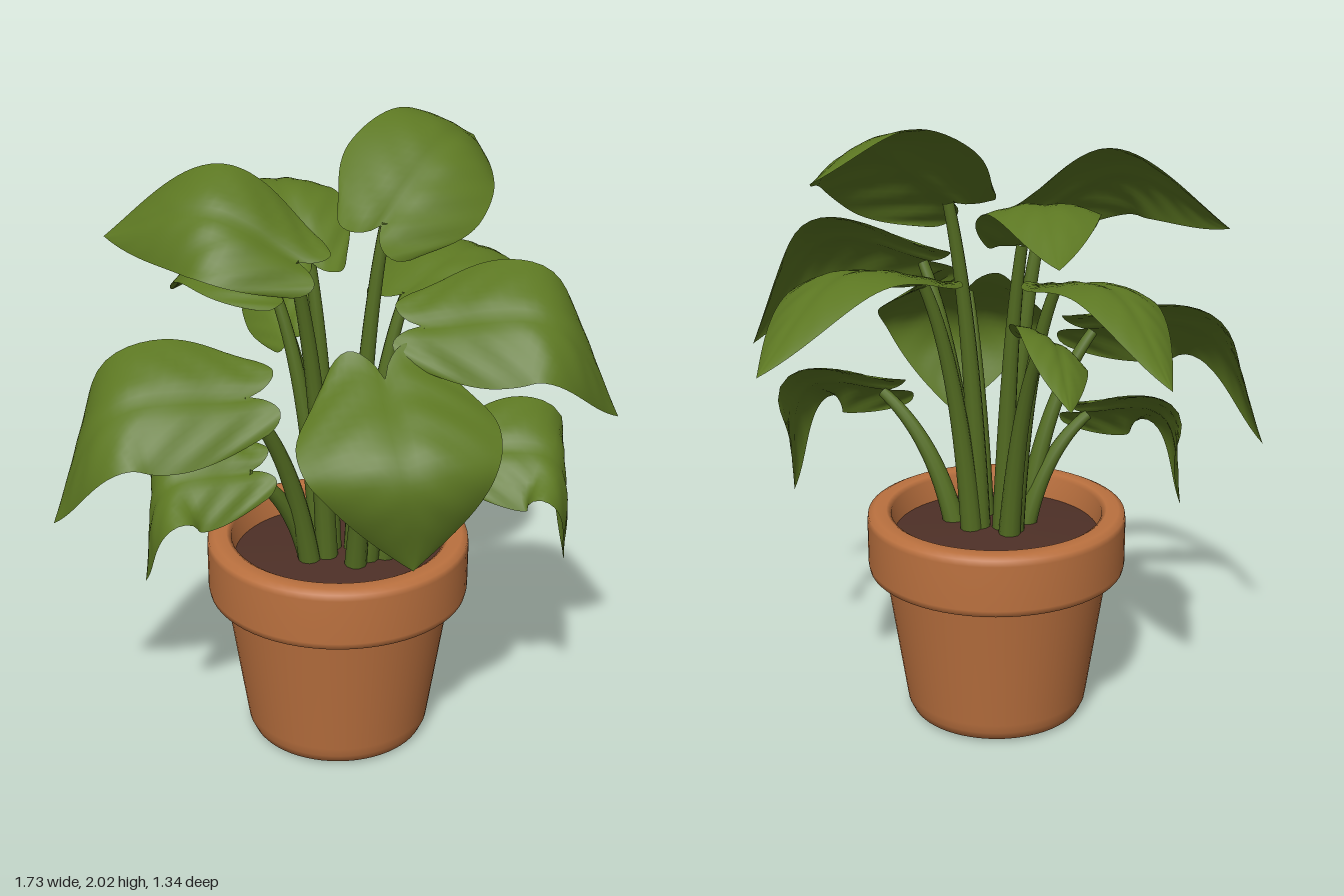
import * as THREE from 'three';

const V = (p) => new THREE.Vector3(...p);
const leafMat = new THREE.MeshStandardMaterial({ name: 'leafGreen', color: 0x5c7722, side: THREE.DoubleSide });
const stemMat = new THREE.MeshStandardMaterial({ name: 'stemGreen', color: 0x546d22 });
const clayMat = new THREE.MeshStandardMaterial({ name: 'terracotta', color: 0xbb713f });
const soilMat = new THREE.MeshStandardMaterial({ name: 'soilBrown', color: 0x4e3027 });

// Direction across a blade that reaches sideways and tilts towards the front
const TILT = V([0, -0.64, 0.77]);

// Position along the leaf to its width, 0 at the tip
function widthAt(t) {
  if (t < 0.3) return 0.62 + 0.38 * Math.sin((Math.PI / 2) * (t / 0.3));
  return 1 - Math.pow((t - 0.3) / 0.7, 1.9);
}

// Blade: a grid bent along the midrib, with lobes, a drooping edge and a midrib crease
function leafGeometry(rib, across, w) {
  const curve = new THREE.CatmullRomCurve3(rib);
  const geo = new THREE.PlaneGeometry(2, 1, 20, 28);
  const pos = geo.attributes.position;
  const frame = (t) => {
    const T = curve.getTangentAt(t);
    const S = across.clone().addScaledVector(T, -across.dot(T)).normalize();
    return { T, S, N: S.clone().cross(T) };
  };
  const up = Math.sign(frame(0.3).N.y);
  for (let i = 0; i < pos.count; i++) {
    const u = pos.getX(i), t = THREE.MathUtils.clamp(pos.getY(i) + 0.5, 0, 1), a = Math.min(1, Math.abs(u));
    const { T, S, N } = frame(t);
    const half = w * widthAt(t);
    const lobe = 0.36 * w * Math.pow(Math.max(0, Math.sin(Math.PI * a)), 0.7) * Math.pow(1 - t, 3);
    const vein = 0.004 * Math.sin((t - a * 0.25) * 38) * Math.sin(Math.PI * a) * (1 - t);
    const crease = -0.014 * Math.max(0, 1 - a * 4) * (1 - t);
    const lift = half * (0.08 - 0.22 * u * u) + vein + crease;
    const p = curve.getPointAt(t)
      .addScaledVector(S, u * half)
      .addScaledVector(T, -lobe)
      .addScaledVector(N, up * lift);
    pos.setXYZ(i, p.x, p.y, p.z);
  }
  geo.computeVertexNormals();
  return geo;
}

// Stem: a tube from the soil to the leaf base, narrowing upwards
function stemGeometry([base, mid]) {
  const root = new THREE.Vector3(0.02 + 0.36 * base.x, 0.62, 0.03 + 0.3 * base.z);
  const bend = root.clone().lerp(base, 0.3).setY(THREE.MathUtils.lerp(root.y, base.y, 0.68));
  const end = base.clone().lerp(mid, 0.07);
  end.y -= 0.01;
  const curve = new THREE.QuadraticBezierCurve3(root, bend, end);
  const segs = 20, sides = 10;
  const geo = new THREE.TubeGeometry(curve, segs, 0.037, sides);
  const pos = geo.attributes.position, p = new THREE.Vector3();
  for (let i = 0; i < pos.count; i++) {
    const t = Math.floor(i / (sides + 1)) / segs;
    p.fromBufferAttribute(pos, i).lerp(curve.getPointAt(t), 0.5 * t);
    pos.setXYZ(i, p.x, p.y, p.z);
  }
  return geo;
}

function lathe(name, profile, mat) {
  const geo = new THREE.LatheGeometry(profile.map(([r, y]) => new THREE.Vector2(r, y)), 64);
  const mesh = new THREE.Mesh(geo, mat);
  mesh.name = name;
  mesh.position.set(0.02, 0, 0.04);
  return mesh;
}

export function createModel() {
  const model = new THREE.Group();
  model.name = 'pottedPlant';

  // Pot with a thick overhanging rim
  model.add(lathe('pot', [
    [0, 0], [0.265, 0], [0.29, 0.012], [0.303, 0.04], [0.308, 0.07],
    [0.37, 0.49], [0.376, 0.513], [0.41, 0.514], [0.424, 0.52], [0.428, 0.54],
    [0.428, 0.69], [0.425, 0.71], [0.405, 0.72], [0.365, 0.72], [0.349, 0.71], [0.335, 0.6],
  ], clayMat));
  model.add(lathe('soil', [[0.345, 0.635], [0.2, 0.648], [0, 0.655]], soilMat));

  // One leaf with its stem: midrib base, middle and tip, direction across, half width
  const addLeaf = (name, base, mid, tip, across, w) => {
    const rib = [base, mid, tip].map(V);
    const blade = new THREE.Mesh(leafGeometry(rib, across, w), leafMat);
    blade.name = name + 'Leaf';
    const stem = new THREE.Mesh(stemGeometry(rib), stemMat);
    stem.name = name + 'Stem';
    model.add(blade, stem);
  };

  // Leaves reaching to the sides
  addLeaf('upperRight', [-0.1, 1.68, 0.19], [-0.37, 1.81, 0.14], [-0.7, 1.69, -0.05], TILT, 0.21);
  addLeaf('middleRight', [-0.25, 1.28, 0.26], [-0.65, 1.25, 0.32], [-0.86, 0.88, 0.3], TILT, 0.23);
  addLeaf('lowerRight', [-0.25, 1.01, 0.2], [-0.51, 0.98, 0.26], [-0.59, 0.66, 0.27], TILT, 0.18);
  addLeaf('middleLeft', [0.26, 1.5, 0.25], [0.63, 1.53, 0.32], [0.87, 1.2, 0.24], TILT, 0.22);
  addLeaf('lowerLeft', [0.4, 1.07, 0.19], [0.68, 1.05, 0.21], [0.74, 0.69, 0.2], TILT, 0.2);

  // Leaves reaching to the front and back
  addLeaf('front', [0.15, 1.38, 0.38], [0.21, 1.18, 0.63], [0.23, 0.86, 0.59], V([1, 0.03, -0.1]), 0.3);
  addLeaf('top', [0.15, 1.74, 0.02], [0.37, 1.94, -0.26], [0.48, 1.89, -0.53], V([0.37, -0.26, 0.2]), 0.24);
  addLeaf('upperBack', [-0.06, 1.62, 0], [-0.16, 1.79, -0.28], [-0.22, 1.68, -0.6], V([1, 0, -0.1]), 0.18);
  addLeaf('backRight', [-0.16, 1.5, -0.05], [-0.37, 1.54, -0.3], [-0.54, 1.34, -0.59], V([-0.26, -0.06, 0.24]), 0.17);
  addLeaf('lowerBack', [-0.13, 1.33, -0.15], [-0.2, 1.4, -0.38], [-0.26, 1.28, -0.63], V([0.8, 0.5, 0]), 0.13);
  addLeaf('backLeft', [0.22, 1.5, -0.05], [0.45, 1.57, -0.31], [0.62, 1.37, -0.68], V([0.3, -0.05, 0.2]), 0.2);
  return model;
}
